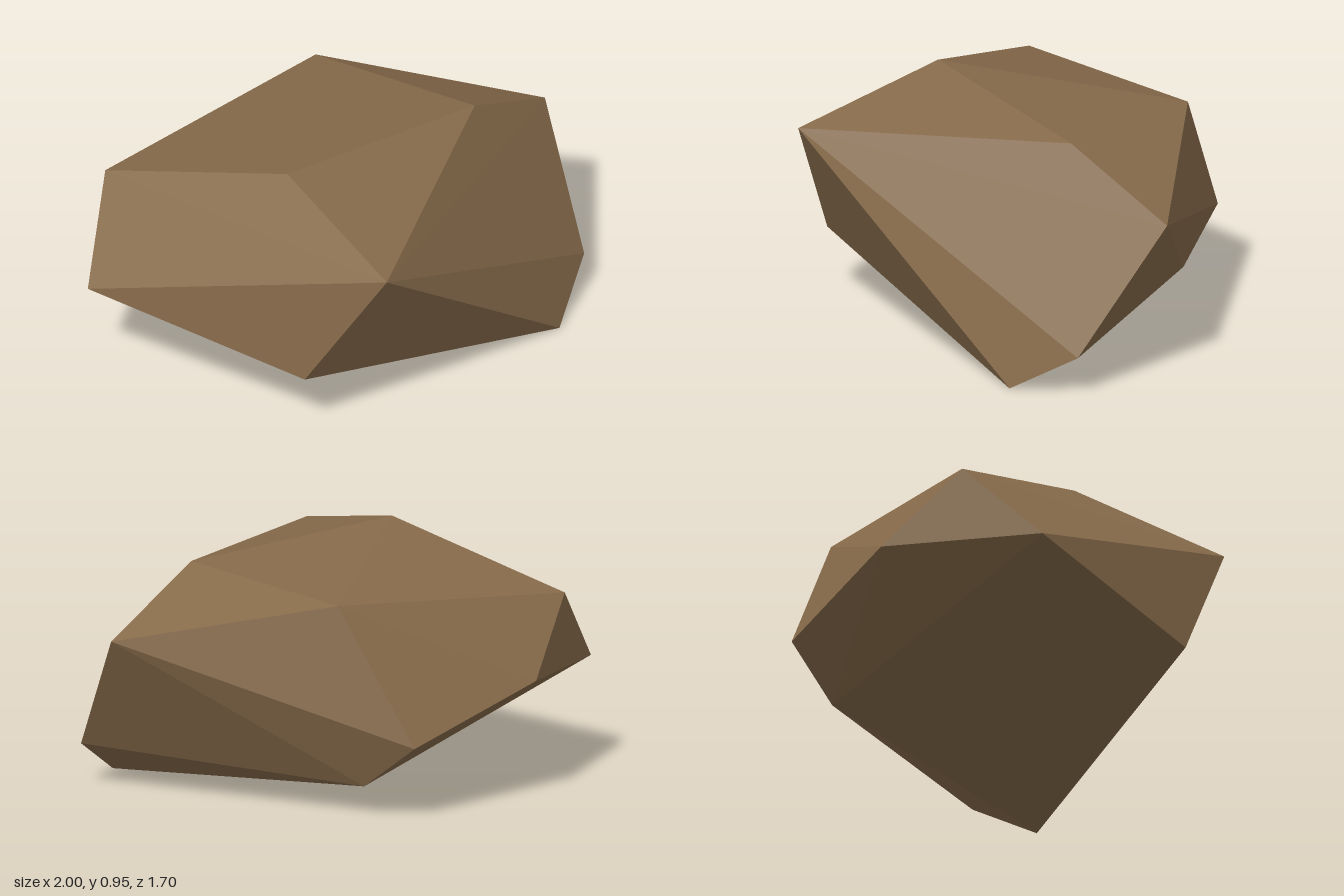
import * as THREE from 'three';
import { ConvexGeometry } from 'three/addons/geometries/ConvexGeometry.js';

// Corners of the faceted boulder, the hull closes the faces between them
const corners = [
  // upper ridge
  [-0.82, 0.745, -0.33], [-0.28, 0.95, 0.22], [-0.11, 0.805, 0.845],
  [0.59, 0.89, -0.03], [0.17, 0.835, -0.645],
  // girdle
  [-1, 0.415, -0.05], [-0.63, 0.475, -0.61], [-0.08, 0.3, -0.85], [0.98, 0.66, -0.29],
  // underside
  [1, 0.165, 0.08], [0.815, 0, 0.295], [0.07, 0.115, -0.66], [-0.37, 0.28, 0.64],
];

export function createModel() {
  const group = new THREE.Group();
  group.name = 'rock';

  const stone = new THREE.MeshStandardMaterial({ color: 0x866a4a, flatShading: true });
  stone.name = 'brown stone';

  const boulder = new THREE.Mesh(
    new ConvexGeometry(corners.map((c) => new THREE.Vector3(...c))),
    stone,
  );
  boulder.name = 'boulder';
  group.add(boulder);
  return group;
}
